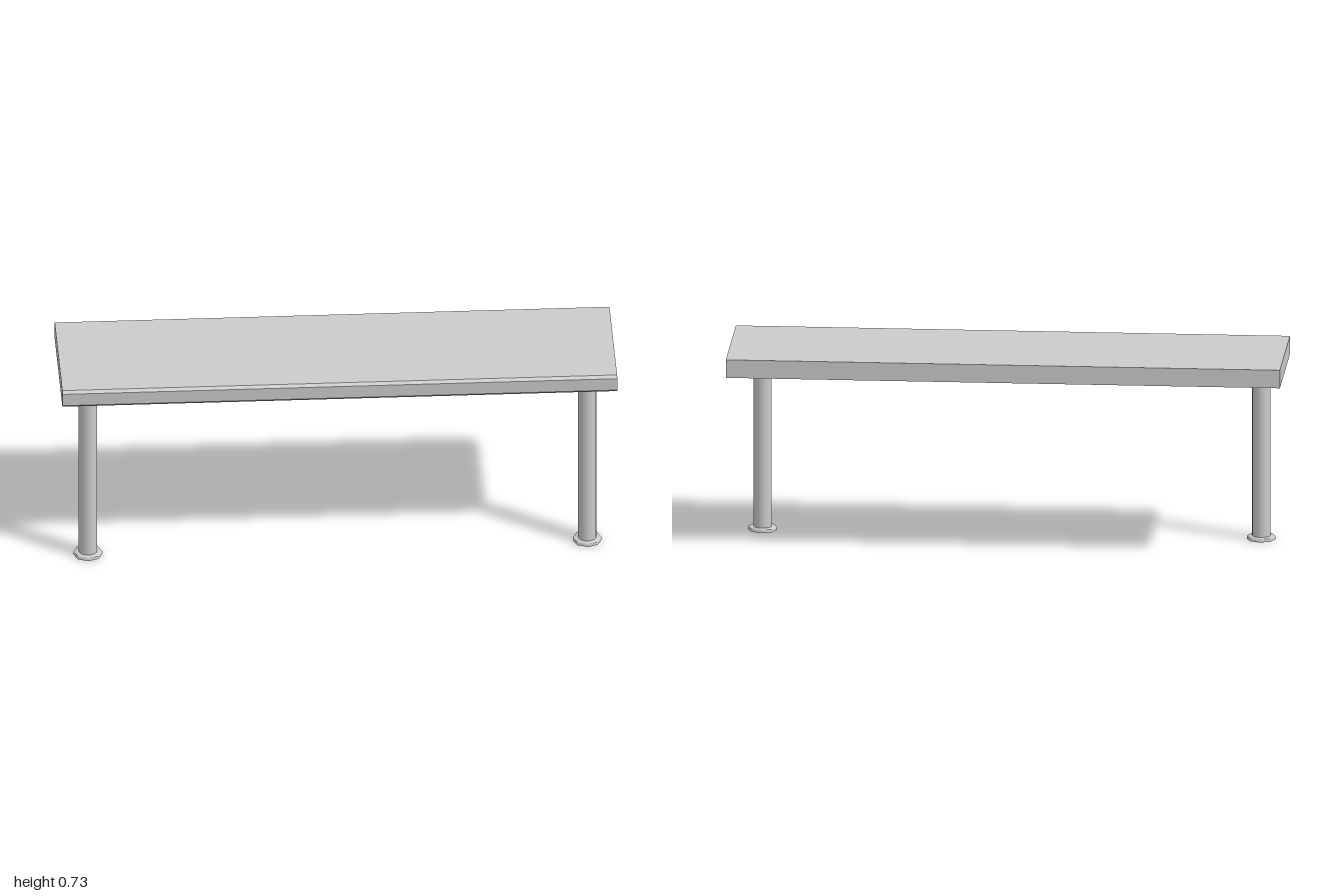
import * as THREE from 'three';
import { toCreasedNormals } from 'three/addons/utils/BufferGeometryUtils.js';

const material = new THREE.MeshStandardMaterial({ color: 0xcccccc });
const openMaterial = new THREE.MeshStandardMaterial({ color: 0xcccccc, side: THREE.DoubleSide });

const TOP_Y = 0.667, LEG_R = 0.033, FLANGE_R = 0.052, FLANGE_H = 0.014;

function addMesh(parent, name, geometry, mat, y = 0) {
  const mesh = new THREE.Mesh(geometry, mat);
  mesh.name = name;
  mesh.position.y = y;
  parent.add(mesh);
  return mesh;
}

// Slab with its two front edges chamfered, extruded along x
function slabGeometry() {
  const c = 0.01, h = 0.067, d = 0.25;
  const profile = new THREE.Shape([
    [d, 0], [d, h], [-d + c, h], [-d, h - c], [-d, c], [-d + c, 0],
  ].map(([x, y]) => new THREE.Vector2(x, y)));
  const geometry = new THREE.ExtrudeGeometry(profile, { depth: 2, bevelEnabled: false });
  return geometry.translate(0, 0, -1).rotateY(Math.PI / 2);
}

// Octagonal ring plate with a small chamfer on its upper rim
function flangeGeometry() {
  const points = [
    [LEG_R, 0], [FLANGE_R, 0], [FLANGE_R, FLANGE_H - 0.003],
    [FLANGE_R - 0.003, FLANGE_H], [LEG_R, FLANGE_H],
  ].map(([x, y]) => new THREE.Vector2(x, y));
  return toCreasedNormals(new THREE.LatheGeometry(points, 8), 0.9);
}

function createLeg(name, x) {
  const leg = new THREE.Group();
  leg.name = name;
  leg.position.set(x, 0, 0.151);
  // Hollow tube, open at the foot
  const tube = new THREE.CylinderGeometry(LEG_R, LEG_R, TOP_Y, 16, 1, true);
  addMesh(leg, 'legTube', tube, openMaterial, TOP_Y / 2);
  addMesh(leg, 'footFlange', flangeGeometry(), openMaterial);
  // Same plate turned over under the slab
  addMesh(leg, 'topFlange', flangeGeometry(), openMaterial, TOP_Y).rotation.x = Math.PI;
  return leg;
}

export function createModel() {
  const model = new THREE.Group();
  model.name = 'counterTable';
  addMesh(model, 'tabletop', slabGeometry(), material, TOP_Y);
  model.add(createLeg('leftLeg', 0.897), createLeg('rightLeg', -0.903));
  return model;
}
